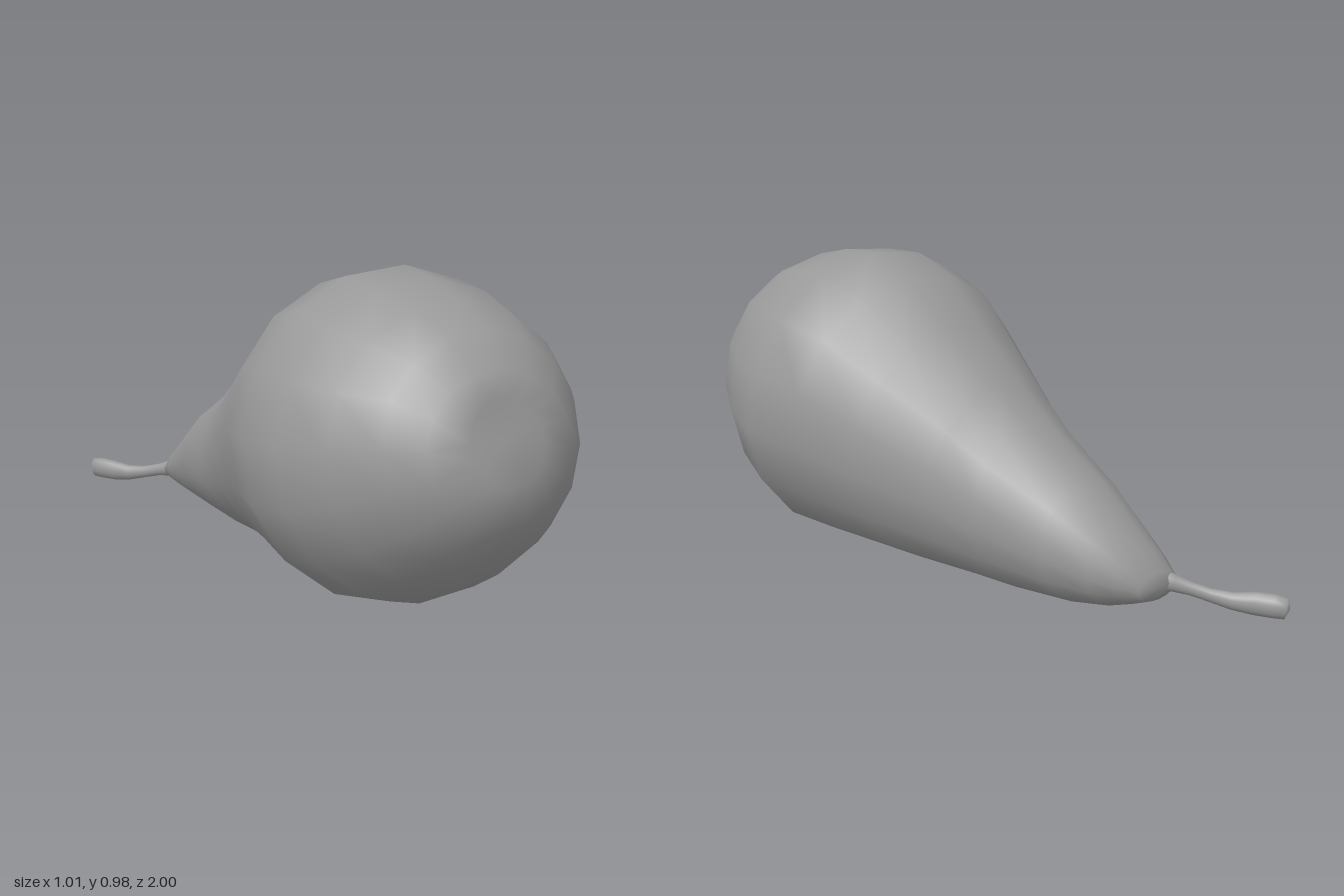
import * as THREE from 'three';

const SIDES = 16;

// Smooth closed skin over elliptical rings [x, y, z, radiusAcross, radiusUp, lean] facing along axis;
// lean shifts a ring's top in z. The first and last entries are single pole points [x, y, z].
function loft(rings, axis) {
  const w = new THREE.Vector3(...axis).normalize();
  const u = new THREE.Vector3(0, 1, 0).cross(w).normalize();
  const v = w.clone().cross(u);
  const pos = [], index = [];
  const last = rings.length - 1;
  pos.push(...rings[0]);
  for (let i = 1; i < last; i++) {
    const [x, y, z, ru, rv, lean = 0] = rings[i];
    for (let j = 0; j < SIDES; j++) {
      const a = (j / SIDES) * Math.PI * 2 - 0.1;
      const p = new THREE.Vector3(x, y, z + Math.sin(a) * lean)
        .addScaledVector(u, Math.cos(a) * ru)
        .addScaledVector(v, Math.sin(a) * rv);
      pos.push(p.x, p.y, p.z);
    }
  }
  pos.push(...rings[last]);
  const end = pos.length / 3 - 1;
  const at = (i, j) => 1 + (i - 1) * SIDES + (j % SIDES);
  for (let j = 0; j < SIDES; j++) {
    index.push(0, at(1, j + 1), at(1, j));
    for (let i = 1; i < last - 1; i++) {
      index.push(at(i, j), at(i, j + 1), at(i + 1, j + 1));
      index.push(at(i, j), at(i + 1, j + 1), at(i + 1, j));
    }
    index.push(at(last - 1, j), at(last - 1, j + 1), end);
  }
  const geo = new THREE.BufferGeometry();
  geo.setAttribute('position', new THREE.Float32BufferAttribute(pos, 3));
  geo.setIndex(index);
  geo.computeVertexNormals();
  return geo;
}

// Fruit rings from neck to blossom end: left edge, right edge, bottom y, bottom z, top y, top z
const OUTLINE = [
  [-0.31, -0.15, 0.07, -0.715, 0.16, -0.72],
  [-0.312, -0.10, 0.052, -0.67, 0.22, -0.68],
  [-0.314, -0.04, 0.033, -0.61, 0.288, -0.62],
  [-0.322, 0.04, 0.016, -0.5, 0.40, -0.5],
  [-0.335, 0.14, 0.006, -0.3, 0.53, -0.3],
  [-0.345, 0.21, 0.008, -0.16, 0.635, -0.18],
  [-0.39, 0.345, 0.01, 0.05, 0.793, 0],
  [-0.445, 0.45, 0.006, 0.27, 0.935, 0.18],
  [-0.48, 0.504, 0, 0.47, 0.982, 0.35],
  [-0.462, 0.472, 0.06, 0.64, 0.97, 0.52],
  [-0.387, 0.412, 0.152, 0.78, 0.932, 0.68],
  [-0.285, 0.33, 0.265, 0.9, 0.877, 0.8],
  [-0.2, 0.24, 0.375, 0.97, 0.79, 0.895],
  [-0.09, 0.13, 0.5, 1, 0.72, 0.925],
];

export function createModel() {
  const group = new THREE.Group();
  group.name = 'pear';
  const material = new THREE.MeshStandardMaterial({ color: 0x999999 });
  const add = (name, geometry) => {
    const mesh = new THREE.Mesh(geometry, material);
    mesh.name = name;
    group.add(mesh);
  };

  // Fruit, lying on its side, with a shallow dimple at the blossom end
  const body = OUTLINE.map(([x0, x1, y0, z0, y1, z1]) => [
    (x0 + x1) / 2, (y0 + y1) / 2, (z0 + z1) / 2,
    (x1 - x0) / 2, (y1 - y0) / 2, (z1 - z0) / 2,
  ]);
  add('fruit', loft([[-0.25, 0.12, -0.735], ...body, [0.02, 0.6, 0.93]], [0, 0, 1]));

  // Stem, thickened at the tip (tip first)
  add('stem', loft([
    [-0.494, 0.074, -0.994],
    [-0.486, 0.074, -0.986, 0.024, 0.034],
    [-0.465, 0.076, -0.955, 0.028, 0.037],
    [-0.435, 0.076, -0.91, 0.026, 0.036],
    [-0.395, 0.076, -0.86, 0.021, 0.027],
    [-0.355, 0.087, -0.81, 0.016, 0.021],
    [-0.318, 0.102, -0.765, 0.016, 0.021],
    [-0.288, 0.114, -0.728, 0.022, 0.027],
    [-0.265, 0.122, -0.695, 0.032, 0.036],
    [-0.25, 0.13, -0.66],
  ], [0.63, 0.1, 0.77]));

  return group;
}
